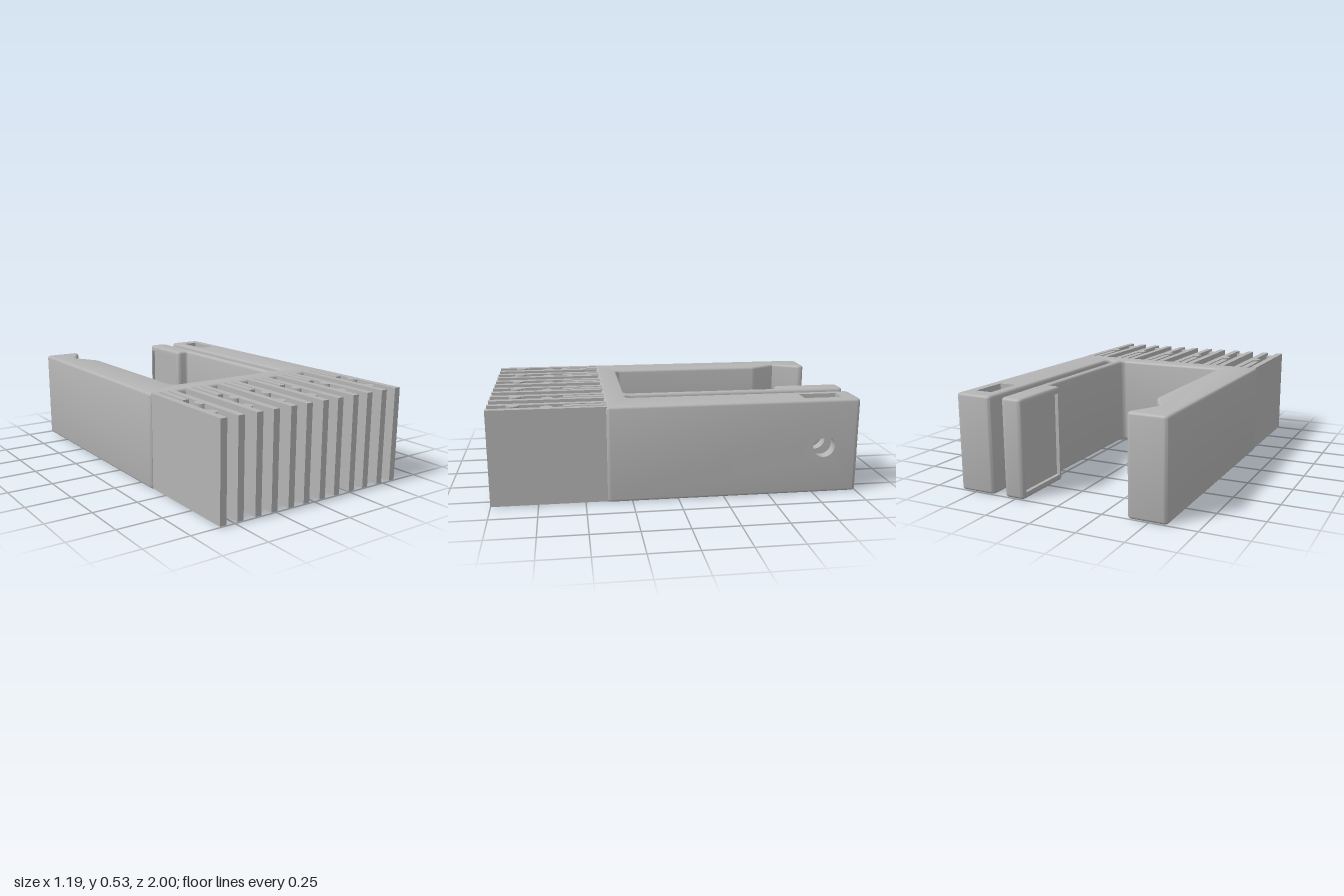
import * as THREE from 'three';
import { mergeGeometries, toCreasedNormals } from 'three/addons/utils/BufferGeometryUtils.js';

const H = 0.525;      // overall height
const B = 0.015;      // edge rounding
const SEG = 6;        // curve segments
const near = (a, b) => Math.abs(a - b) < 1e-4;

// Rounded polygon from [x, z, radius] corners; shape y is -z
function roundedShape(corners) {
  const s = new THREE.Shape();
  const pts = corners.map(([x, z]) => new THREE.Vector2(x, -z));
  const n = pts.length;
  pts.forEach((p, i) => {
    const r = corners[i][2] || 0;
    const toPrev = pts[(i + n - 1) % n].clone().sub(p).normalize();
    const toNext = pts[(i + 1) % n].clone().sub(p).normalize();
    const a = p.clone().addScaledVector(toPrev, r);
    const b = p.clone().addScaledVector(toNext, r);
    if (i) s.lineTo(a.x, a.y); else s.moveTo(a.x, a.y);
    if (r) {
      const c = p.clone().addScaledVector(toPrev, r * 0.45);
      const d = p.clone().addScaledVector(toNext, r * 0.45);
      s.bezierCurveTo(c.x, c.y, d.x, d.y, b.x, b.y);
    }
  });
  s.closePath();
  return s;
}

const rectShape = (u0, v0, u1, v1) => new THREE.Shape([
  new THREE.Vector2(u0, v0), new THREE.Vector2(u1, v0),
  new THREE.Vector2(u1, v1), new THREE.Vector2(u0, v1)]);

// Position-only copy without the triangles whose corners all pass the test
function without(geometry, test, flip = false) {
  const p = (geometry.index ? geometry.toNonIndexed() : geometry).attributes.position;
  const out = [];
  for (let i = 0; i < p.count; i += 3) {
    const tri = [0, 1, 2].map(k => new THREE.Vector3().fromBufferAttribute(p, i + k));
    if (test(tri)) continue;
    if (flip) tri.reverse();
    tri.forEach(v => out.push(v.x, v.y, v.z));
  }
  const g = new THREE.BufferGeometry();
  g.setAttribute('position', new THREE.Float32BufferAttribute(out, 3));
  return g;
}
const onPlane = (axis, value) => tri => tri.every(v => near(v[axis], value));
const none = () => false;

// Place a (u, y) geometry on the plane at x, facing dir (+1 or -1)
const toSide = (g, dir, x) => g.rotateY(dir * Math.PI / 2).translate(x, 0, 0);

// Flat side panel with a hole; the hole shape is in u = -dir * z
function panel(dir, x, z0, z1, y0, y1, hole) {
  const u = [-dir * z0, -dir * z1].sort((a, b) => a - b);
  const s = rectShape(u[0], y0, u[1], y1);
  s.holes.push(hole);
  return without(toSide(new THREE.ShapeGeometry(s, SEG), dir, x), none);
}

// Inward-facing walls of a recess or tunnel sunk below a side panel
function recess(dir, x, shape, depth, open) {
  const g = new THREE.ExtrudeGeometry(shape, { depth, bevelEnabled: false, curveSegments: SEG });
  g.translate(0, 0, -depth);
  const cap = onPlane('z', 0), end = onPlane('z', -depth);
  return toSide(without(g, t => cap(t) || (open && end(t)), true), dir, x);
}

function teardrop(u, v, r) {
  const s = new THREE.Shape();
  s.moveTo(u, v + r * Math.SQRT2);
  s.absarc(u, v, r, Math.PI * 0.75, Math.PI * 2.25, false);
  s.closePath();
  return s;
}

function buildBody() {
  // Outline drawn inside the edge rounding
  const corners = [
    [-0.582, -0.985, 0.01], [-0.40, -0.985, 0.005],
    [-0.40, -0.97, 0.004], [-0.4875, -0.81], [-0.40, -0.652, 0.005],
    [-0.40, 0.275, 0.045], [0.29, 0.275, 0.045],
    [0.29, -0.635, 0.03], [0.215, -0.635, 0.01], [0.215, -0.985, 0.01],
    [0.305, -0.985, 0.01], [0.305, 0.275, 0.046], [0.40, 0.275, 0.046],
    [0.40, -0.985, 0.01], [0.582, -0.985, 0.01],
    [0.582, 0.37, 0.005], [-0.582, 0.37, 0.005]];
  const block = new THREE.ExtrudeGeometry(roundedShape(corners), {
    depth: H - 2 * B, bevelThickness: B, bevelSize: B, bevelSegments: 3, curveSegments: SEG });
  block.rotateX(-Math.PI / 2).translate(0, B, 0);

  const parts = [];
  // Side faces that get openings
  const drop = teardrop(0.803, 0.265, 0.062);
  const dropMirrored = teardrop(-0.803, 0.265, 0.062);
  const padRecess = rectShape(-0.975, 0.035, -0.65, 0.49);
  const sides = [[1, 0.597, drop], [-1, 0.385, dropMirrored], [-1, 0.20, padRecess]];
  const pos = block.attributes.position;
  for (const [dir, x, hole] of sides) {
    let z0 = Infinity, z1 = -Infinity;
    for (let i = 0; i < pos.count; i += 3) {
      if (![0, 1, 2].every(k => near(pos.getX(i + k), x))) continue;
      for (let k = 0; k < 3; k++) {
        z0 = Math.min(z0, pos.getZ(i + k));
        z1 = Math.max(z1, pos.getZ(i + k));
      }
    }
    parts.push(panel(dir, x, z0, z1, B, H - B, hole));
  }
  const removed = [onPlane('y', H), ...sides.map(s => onPlane('x', s[1]))];
  parts.push(without(block, t => removed.some(f => f(t))));

  // Top face with the pocket opening
  const [px0, px1, pz0, pz1, floor] = [0.44, 0.535, -0.91, -0.70, 0.14];
  const top = roundedShape(corners);
  const opening = rectShape(px0, -pz1, px1, -pz0);
  top.holes.push(opening);
  parts.push(without(new THREE.ShapeGeometry(top, SEG).rotateX(-Math.PI / 2).translate(0, H, 0), none));

  // Pocket walls, cross hole and shallow pad recess
  const pocket = new THREE.BoxGeometry(px1 - px0, H - floor, pz1 - pz0);
  pocket.translate((px0 + px1) / 2, (H + floor) / 2, (pz0 + pz1) / 2);
  const openFaces = [onPlane('y', H), onPlane('x', px0), onPlane('x', px1)];
  parts.push(
    without(pocket, t => openFaces.some(f => f(t)), true),
    panel(1, px0, pz0, pz1, floor, H, drop),
    panel(-1, px1, pz0, pz1, floor, H, dropMirrored),
    recess(1, 0.597, drop, 0.597 - px1, true),
    recess(-1, 0.385, dropMirrored, px0 - 0.385, true),
    recess(-1, 0.20, padRecess, 0.02, false));
  return toCreasedNormals(mergeGeometries(parts), 0.6);
}

// Upright fin, optionally with a half-round ridge on one side
function buildFin(x0, x1, zEnd, ridgeZ, side) {
  const s = new THREE.Shape();
  const r = 0.034, zStart = 0.375;
  s.moveTo(x0, -zEnd);
  s.lineTo(x1, -zEnd);
  if (side > 0) s.absarc(x1, -ridgeZ, r, -Math.PI / 2, Math.PI / 2, false);
  s.lineTo(x1, -zStart);
  s.lineTo(x0, -zStart);
  if (side < 0) s.absarc(x0, -ridgeZ, r, Math.PI / 2, Math.PI * 1.5, false);
  s.closePath();
  const g = new THREE.ExtrudeGeometry(s, { depth: H - 0.004, bevelEnabled: false, curveSegments: 12 });
  g.rotateX(-Math.PI / 2).translate(0, 0.004, 0);
  return toCreasedNormals(g, 0.6);
}

export function createModel() {
  const grey = new THREE.MeshStandardMaterial({ color: 0xb4b4b4 });
  grey.name = 'grey';
  const model = new THREE.Group();
  model.name = 'clampBracket';
  const add = (parent, name, geometry) => {
    const m = new THREE.Mesh(geometry, grey);
    m.name = name;
    parent.add(m);
    return m;
  };

  add(model, 'body', buildBody());

  // Six repeated groups of two long fins around a short one
  const leftFin = buildFin(-0.587, -0.55, 1, 0.865, 1);
  const stub = buildFin(-0.534, -0.499, 0.603, 0, 0);
  const rightFin = buildFin(-0.487, -0.45, 1, 0.69, -1);
  for (let i = 0; i < 6; i++) {
    const holder = new THREE.Group();
    holder.name = 'finGroup' + (i + 1);
    holder.position.x = i * 0.2074;
    add(holder, 'longFinRearRidge', leftFin);
    add(holder, 'shortFin', stub);
    add(holder, 'longFinFrontRidge', rightFin);
    model.add(holder);
  }
  return model;
}
